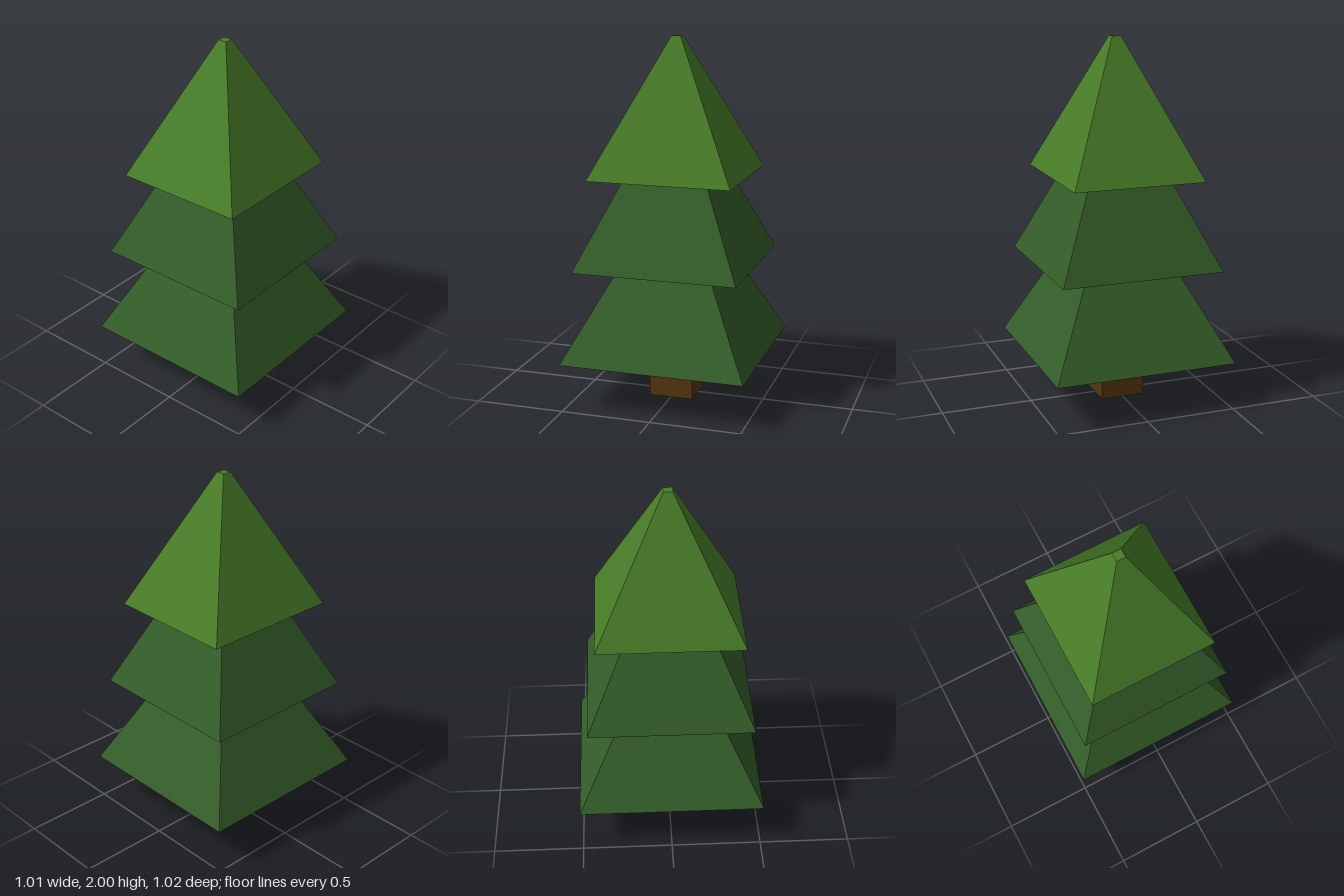
import * as THREE from 'three';

const leafLight = new THREE.MeshStandardMaterial({ color: 0x487d29 });
leafLight.name = 'light leaf green';
const leafDark = new THREE.MeshStandardMaterial({ color: 0x345d29 });
leafDark.name = 'dark leaf green';
const bark = new THREE.MeshStandardMaterial({ color: 0x55370f });
bark.name = 'bark brown';

// Four-sided truncated pyramid: a box whose upper corners are drawn inwards.
function frustum(name, material, y0, y1, bottom, top) {
  const geometry = new THREE.BoxGeometry(2, y1 - y0, 2);
  geometry.translate(0, (y0 + y1) / 2, 0);
  const p = geometry.attributes.position;
  const middle = (y0 + y1) / 2;
  for (let i = 0; i < p.count; i++) {
    const [hx, hz] = p.getY(i) > middle ? top : bottom;
    p.setX(i, p.getX(i) * hx);
    p.setZ(i, p.getZ(i) * hz);
  }
  geometry.computeVertexNormals();
  const mesh = new THREE.Mesh(geometry, material);
  mesh.name = name;
  return mesh;
}

export function createModel() {
  const tree = new THREE.Group();
  tree.name = 'pineTree';
  tree.add(
    // Square trunk
    frustum('trunk', bark, 0, 0.28, [0.123, 0.123], [0.123, 0.123]),
    // Lower tiers run slightly up into the tier above
    frustum('lowerBranches', leafDark, 0.265, 0.82, [0.505, 0.51], [0.225, 0.224]),
    frustum('middleBranches', leafDark, 0.77, 1.305, [0.45, 0.452], [0.205, 0.204]),
    // Crown with a small flat tip
    frustum('crown', leafLight, 1.255, 2, [0.365, 0.395], [0.025, 0.025]),
  );
  return tree;
}
